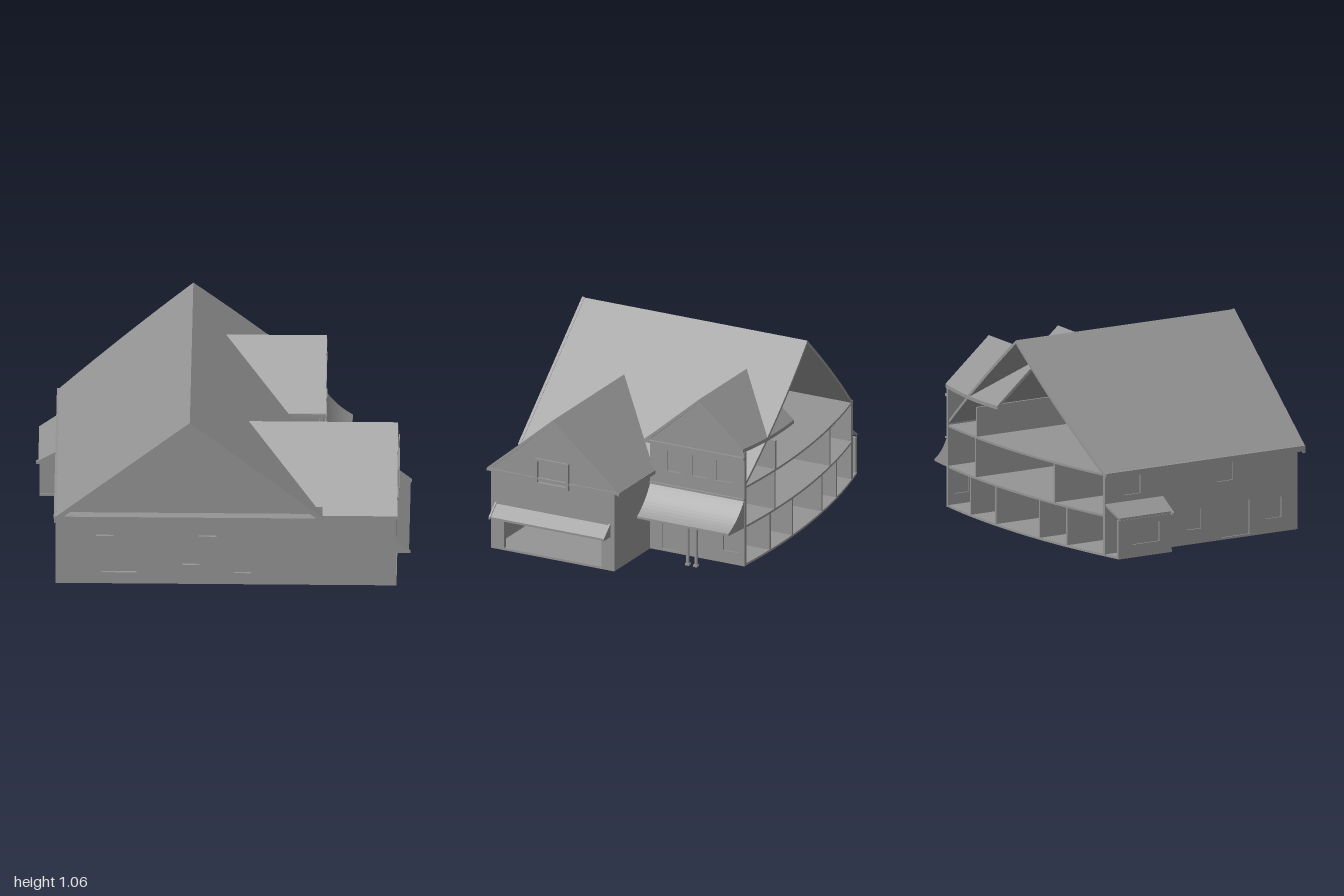
import * as THREE from 'three';

const mat = new THREE.MeshStandardMaterial({ color: 0x949494, side: THREE.DoubleSide });

// The house is sliced open at the back along this shallow arc.
const cut = x => -0.69 + (x - 0.18) ** 2 / 8.56;
const arc = (x0, x1, n = 16) =>
  Array.from({ length: n + 1 }, (_, i) => {
    const x = x0 + (x1 - x0) * i / n;
    return [x, cut(x)];
  });

// Window and door openings: [start, end, bottom, top]
const frontWindows = [[-0.67, -0.575, 0.31, 0.42], [-0.125, -0.03, 0.31, 0.42],
  [-0.64, -0.455, 0.08, 0.2], [0.065, 0.155, 0.08, 0.2], [-0.21, -0.12, 0.13, 0.195]];
const gableWindows = [[0.18, 0.355, 0.435, 0.555]];
const entranceOpenings = [[-0.297, -0.208, 0.468, 0.583], [-0.449, -0.36, 0.468, 0.583],
  [-0.599, -0.508, 0.468, 0.583], [-0.285, -0.18, 0.022, 0.2], [-0.637, -0.548, 0.08, 0.195]];
const sideOpenings = [[0.14, 0.24, 0.33, 0.43], [-0.44, -0.34, 0.33, 0.43],
  [0.44, 0.54, 0.09, 0.2], [-0.05, 0.04, 0.09, 0.2], [0.17, 0.34, 0.022, 0.21]];
const bayWindows = [[-0.45, -0.28, 0.08, 0.19]];

const corners = ([a, b, y0, y1]) => [[a, y0], [b, y0], [b, y1], [a, y1]];

export function createModel() {
  const house = new THREE.Group();
  house.name = 'house';

  const add = (name, geo) => {
    const mesh = new THREE.Mesh(geo, mat);
    mesh.name = name;
    house.add(mesh);
    return mesh;
  };
  // Box given by its min and max corners
  const box = (name, x0, x1, y0, y1, z0, z1) => {
    const g = new THREE.BoxGeometry(x1 - x0, y1 - y0, z1 - z0);
    g.translate((x0 + x1) / 2, (y0 + y1) / 2, (z0 + z1) / 2);
    return add(name, g);
  };
  const extrude = (pts, depth, holes = []) => {
    const toShape = list => new THREE.Shape(list.map(p => new THREE.Vector2(p[0], p[1])));
    const s = toShape(pts);
    s.holes = holes.map(toShape);
    return new THREE.ExtrudeGeometry(s, { depth, bevelEnabled: false });
  };
  // Slab with a plan outline in x,z whose underside follows height(x, z)
  const slab = (name, plan, t, height) => {
    const g = extrude(plan.map(([x, z]) => [x, -z]), t);
    g.rotateX(-Math.PI / 2);
    const p = g.attributes.position;
    for (let i = 0; i < p.count; i++) p.setY(i, p.getY(i) + height(p.getX(i), p.getZ(i)));
    g.computeVertexNormals();
    return add(name, g);
  };

  const T = 0.02;          // wall and roof thickness

  // Walls with recessed panes: one across x, one across z
  const frontFacingWall = (name, pts, z, openings) => {
    const g = extrude(pts, T, openings.map(corners));
    g.translate(0, 0, z);
    add(name, g);
    for (const [a, b, y0, y1] of openings) box(name + 'Pane', a, b, y0, y1, z + 0.004, z + 0.008);
  };
  const sideWall = (name, pts, x, openings, gaps = []) => {
    const flip = list => list.map(([z, y]) => [-z, y]);
    const g = extrude(flip(pts), T, [...openings, ...gaps].map(o => flip(corners(o))));
    g.rotateY(Math.PI / 2);
    g.translate(x, 0, 0);
    add(name, g);
    for (const [a, b, y0, y1] of openings)
      box(name + 'Pane', x + 0.008, x + 0.012, y0, y1, a, b);
  };

  // Floors and ceiling, following the cut
  for (const [name, y] of [['groundFloor', 0.01], ['upperFloor', 0.225], ['atticFloor', 0.448]])
    slab(name, [...arc(-0.88, 0.525), [0.525, -0.105], [0.925, -0.105], [0.925, 0.638], [-0.88, 0.638]],
      0.012, () => y);
  slab('bayFloor', [...arc(-0.98, -0.88, 3), [-0.88, -0.2], [-0.98, -0.2]], 0.012, () => 0.01);

  // Outer walls
  frontFacingWall('frontWall', [[-0.885, 0.01], [0.926, 0.01], [0.926, 0.46], [0.53, 0.45],
    [-0.17, 1.04], [-0.87, 0.45], [-0.885, 0.45]], 0.62, frontWindows);
  sideWall('longSideWall', corners([cut(-0.88), 0.62, 0.01, 0.45]), -0.885, sideOpenings);
  box('garageInnerWall', 0.0, 0.926, 0.01, 0.46, -0.107, -0.087);
  sideWall('garageGableWall', [[0.64, 0.01], [0.64, 0.46], [0.265, 0.78], [-0.107, 0.46], [-0.107, 0.01]],
    0.907, gableWindows, [[-0.03, 0.56, 0.022, 0.2]]);
  sideWall('entranceAndDormerWall', [[-0.105, 0.01], [-0.105, 0.63], [-0.405, 0.89],
    [-0.678, 0.655], [-0.678, 0.01]], 0.51, entranceOpenings);

  // Raised frame around the gable window
  for (const z of [0.165, 0.355]) box('gableWindowJamb', 0.92, 0.94, 0.42, 0.57, z, z + 0.015);
  for (const y of [0.42, 0.555]) box('gableWindowRail', 0.92, 0.94, y, y + 0.015, 0.165, 0.37);

  // Interior partitions
  box('garageBackWall', 0.0, 0.015, 0.01, 0.225, -0.105, 0.62);
  for (const y of [0.01, 0.235])
    box('roomBackWall', -0.865, 0.51, y, y + 0.215, -0.1, -0.087);
  for (const x of [-0.6, -0.38, 0.01, 0.26])
    box('groundPartition', x, x + 0.012, 0.02, 0.225, cut(x), -0.1);
  for (const x of [-0.5, 0.21])
    box('upperPartition', x, x + 0.012, 0.235, 0.45, cut(x), -0.1);
  box('dormerPartition', 0.2, 0.212, 0.46, 0.62, cut(0.2), -0.12);

  // Main roof: two slopes ending at the cut, the right one notched behind the dormer wall
  const mainRoof = x => 1.04 - 0.845 * Math.abs(x + 0.17);
  slab('mainRoofSlope', [...arc(-0.17, 0.505, 10), [0.505, -0.11], [0.54, -0.11],
    [0.54, 0.685], [-0.17, 0.685]], T, mainRoof);
  slab('mainRoofSlope', [...arc(-0.89, -0.17, 10), [-0.17, 0.685], [-0.89, 0.685]], T, mainRoof);
  for (const x of [-0.89, 0.54])
    slab('rakeBoard', [[-0.17, 0.672], [x, 0.672], [x, 0.688], [-0.17, 0.688]], 0.034,
      px => mainRoof(px) - 0.011);
  box('frontGableTrim', -0.89, 0.54, 0.447, 0.46, 0.64, 0.685);
  box('longSideEave', -0.893, -0.88, 0.447, 0.462, cut(-0.89), 0.685);

  // Garage wing roof, running into the attic
  const garageRoof = (x, z) => 0.78 - 0.85 * Math.abs(z - 0.265);
  slab('garageRoofSlope', [[-0.17, 0.265], [0.93, 0.265], [0.93, -0.138], [-0.17, -0.138]], T, garageRoof);
  slab('garageRoofSlope', [[-0.17, 0.265], [0.93, 0.265], [0.93, 0.662], [0.535, 0.662],
    [0.535, 0.625], [-0.17, 0.625]], T, garageRoof);
  box('garageGableTrim', 0.92, 0.934, 0.447, 0.46, -0.138, 0.662);
  box('garageEave', 0.54, 0.93, 0.447, 0.46, 0.64, 0.662);
  box('garageEave', 0.54, 0.93, 0.447, 0.46, -0.138, -0.105);

  // Dormer roof, also running into the attic
  const dormerRoof = (x, z) => 0.89 - 0.86 * Math.abs(z + 0.405);
  slab('dormerRoofSlope', [[0, -0.405], [0.543, -0.405], [0.543, -0.07], [0, -0.07]], T, dormerRoof);
  slab('dormerRoofSlope', [...arc(0, 0.543, 8), [0.543, -0.405], [0, -0.405]], T, dormerRoof);
  box('dormerGableTrim', 0.525, 0.542, 0.612, 0.627, -0.677, -0.07);
  box('dormerEave', 0.34, 0.542, 0.612, 0.627, -0.105, -0.07);

  // Flared porch roof, its far end trimmed to the cut
  const curve = new THREE.QuadraticBezierCurve(new THREE.Vector2(0.53, 0.385),
    new THREE.Vector2(0.588, 0.29), new THREE.Vector2(0.677, 0.24));
  const profile = curve.getPoints(10).map(p => [p.x, p.y]);
  const porch = extrude([[0.53, 0.228], ...profile.reverse().length ? [[0.677, 0.228], ...profile] : []], 1);
  const pp = porch.attributes.position;
  for (let i = 0; i < pp.count; i++) pp.setZ(i, pp.getZ(i) > 0.5 ? -0.108 : cut(pp.getX(i)));
  porch.computeVertexNormals();
  add('porchRoof', porch);
  box('porchRoofBand', 0.53, 0.542, 0.383, 0.393, -0.677, -0.108);

  // Paired porch columns
  for (const z of [-0.39, -0.44]) {
    const shaft = new THREE.CylinderGeometry(0.009, 0.009, 0.225, 16);
    shaft.translate(0.63, 0.1125, z);
    add('porchColumn', shaft);
    box('columnBase', 0.618, 0.642, 0, 0.012, z - 0.012, z + 0.012);
    box('columnCapital', 0.618, 0.642, 0.213, 0.228, z - 0.012, z + 0.012);
  }

  // Pent roof over the garage opening
  slab('garagePentRoof', [[0.92, -0.075], [0.993, -0.075], [0.993, 0.605], [0.92, 0.605]], 0.012,
    x => 0.26 - (x - 0.92) * 0.83);
  for (const z of [-0.083, 0.605]) {
    const end = extrude([[0.92, 0.2], [1, 0.2], [1, 0.212], [0.92, 0.28]], 0.01);
    end.translate(0, 0, z);
    add('pentRoofEnd', end);
  }
  box('pentRoofSoffit', 0.92, 0.993, 0.2, 0.206, -0.075, 0.605);

  // Side bay with lean-to roof
  box('bayFrontWall', -0.98, -0.88, 0.01, 0.22, -0.22, -0.205);
  sideWall('baySideWall', corners([cut(-0.98), -0.205, 0.01, 0.22]), -0.98, bayWindows);
  slab('bayRoof', [...arc(-0.987, -0.88, 3), [-0.88, -0.2], [-0.987, -0.2]], 0.012,
    x => 0.215 + (x + 1) * 0.6);
  const cheek = extrude([[-1, 0.215], [-0.88, 0.215], [-0.88, 0.3], [-1, 0.228]], 0.012);
  cheek.translate(0, 0, -0.21);
  add('bayRoofCheek', cheek);

  return house;
}
